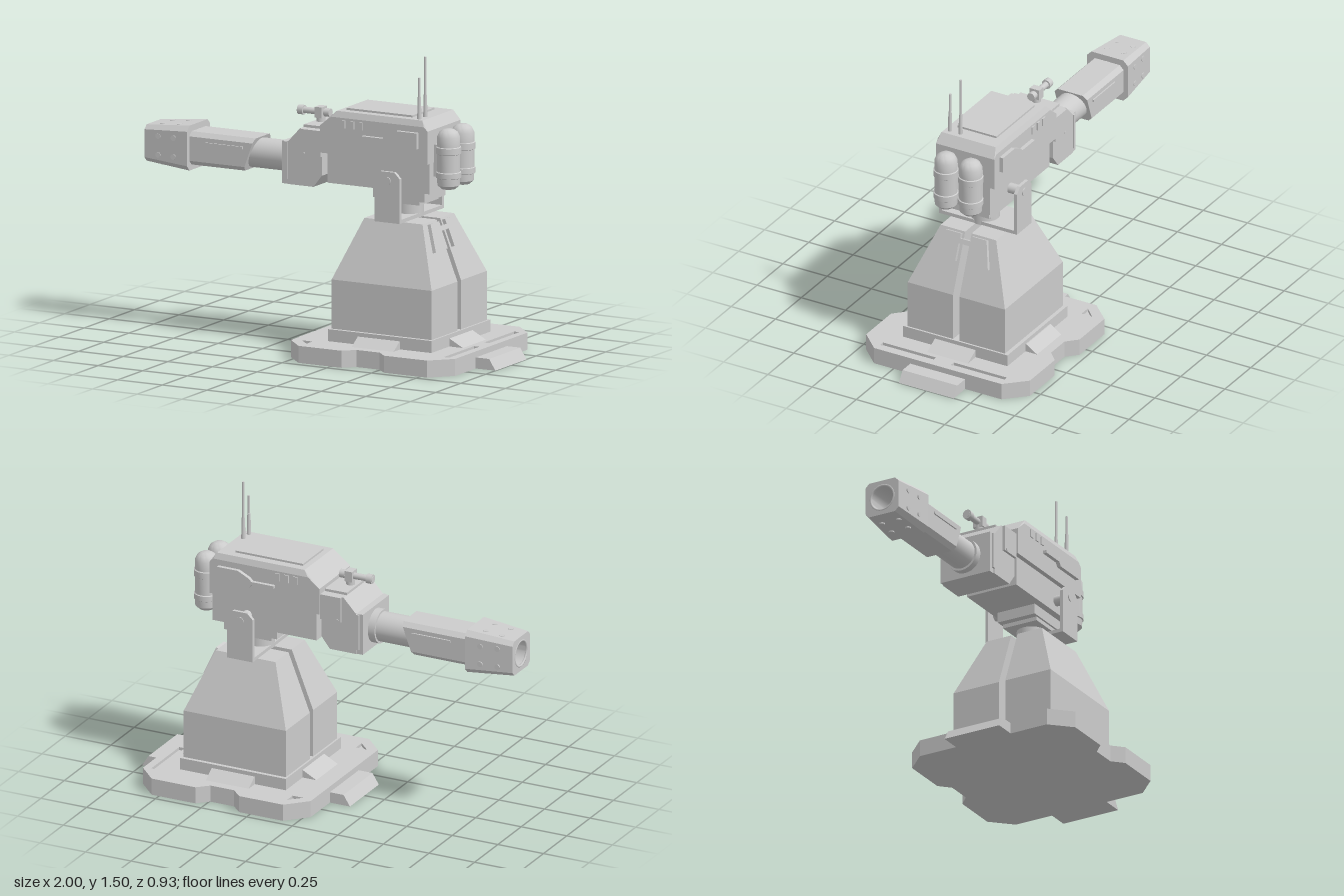
import * as THREE from 'three';
import { ConvexGeometry } from 'three/addons/geometries/ConvexGeometry.js';
import { toCreasedNormals } from 'three/addons/utils/BufferGeometryUtils.js';

const CX = 0.43; // centre line of the pedestal

export function createModel() {
  const root = new THREE.Group();
  root.name = 'turret';
  const mat = new THREE.MeshStandardMaterial({ color: 0xcccccc });

  const add = (name, geo) => {
    const m = new THREE.Mesh(geo, mat);
    m.name = name;
    root.add(m);
    return m;
  };
  // Box given by its limits on each axis
  const box = (name, x0, x1, y0, y1, z0, z1) =>
    add(name, new THREE.BoxGeometry(x1 - x0, y1 - y0, z1 - z0))
      .position.set((x0 + x1) / 2, (y0 + y1) / 2, (z0 + z1) / 2);
  // Cylinder centred on a point, along an axis
  const cyl = (name, axis, x, y, z, r, len, seg = 24, r2 = r) => {
    const g = new THREE.CylinderGeometry(r2, r, len, seg);
    if (axis === 'x') g.rotateZ(Math.PI / 2);
    if (axis === 'z') g.rotateX(Math.PI / 2);
    add(name, g).position.set(x, y, z);
  };
  const hull = (name, pts) =>
    add(name, new ConvexGeometry(pts.map((p) => new THREE.Vector3(...p))));
  // Flat outline mirrored to both sides of z = 0
  const slab = (outline, w) => outline.flatMap(([x, y]) => [[x, y, w], [x, y, -w]]);
  const shape = (pts) => new THREE.Shape(pts.map((p) => new THREE.Vector2(...p)));
  const extrude = (s, depth, curveSegments = 12) =>
    new THREE.ExtrudeGeometry(s, { depth, bevelEnabled: false, curveSegments });
  // Rectangle with cut corners
  const octagon = (a, b, c) => [[a, b - c], [a - c, b], [c - a, b], [-a, b - c],
    [-a, c - b], [c - a, -b], [a - c, -b], [a, c - b]];

  // Base: solid lower layer, thin top layer with slots and corner recesses
  const half = [[0.46, 0.36], [0.36, 0.463], [0.12, 0.463], [0.065, 0.41],
    [-0.065, 0.41], [-0.12, 0.463], [-0.36, 0.463], [-0.46, 0.36]];
  const outline = [...half, ...half.map(([x, y]) => [-x, -y])];
  const top = shape(outline);
  for (const s of [1, -1]) {
    top.holes.push(shape([[0.39, s * 0.05], [0.42, s * 0.05], [0.42, s * 0.35], [0.39, s * 0.35]]));
    top.holes.push(shape([[-0.41, s * 0.34], [-0.35, s * 0.40], [-0.35, s * 0.34]]));
  }
  const lay = (name, s, y, h) =>
    add(name, extrude(s, h).rotateX(-Math.PI / 2)).position.set(CX, y, 0);
  lay('baseLower', shape(outline), 0, 0.07);
  lay('baseTop', top, 0.07, 0.015);

  // Plinth, ramps and end feet
  box('plinth', 0.14, 0.72, 0.085, 0.145, -0.295, 0.295);
  for (const s of [1, -1]) {
    hull('endFoot', slab([[CX + s * 0.4, 0], [CX + s * 0.57, 0],
      [CX + s * 0.535, 0.055], [CX + s * 0.4, 0.055]], 0.155));
    hull('endRamp', slab([[CX + s * 0.28, 0.08], [CX + s * 0.365, 0.085],
      [CX + s * 0.29, 0.125], [CX + s * 0.28, 0.125]], 0.115));
    hull('sideRamp', [0.31, 0.545].flatMap((x) => [[x, 0.08, s * 0.28],
      [x, 0.085, s * 0.36], [x, 0.125, s * 0.3], [x, 0.125, s * 0.28]]));
    // Pedestal half, split by a narrow slit
    const ring = (y, a, w) => [[CX - a, y, s * 0.018], [CX + a, y, s * 0.018],
      [CX - a, y, s * w], [CX + a, y, s * w]];
    hull('pedestalHalf', [...ring(0.14, 0.28, 0.275), ...ring(0.39, 0.28, 0.275),
      ...ring(0.688, 0.163, 0.157)]);
  }

  // Notched hatch lying on the sloping end of the pedestal
  const hatchSide = [[0.03, 0.14], [0.115, 0.14], [0.152, 0], [0.033, 0], [0.033, 0.09]];
  const hatchPts = [[0.03, 0.115], ...hatchSide];
  const hatch = shape([...hatchPts, ...hatchPts.map(([x, y]) => [-x, y]).reverse()]);
  const lean = Math.atan2(0.117, 0.298);
  const hatchMesh = add('hatch', extrude(hatch, 0.025));
  hatchMesh.rotation.set(0, Math.PI / 2, 0);
  hatchMesh.geometry.rotateX(-lean);
  hatchMesh.position.set(0.642, 0.545, 0);

  // Yoke with its two arms and pivots
  box('yokePlate', 0.36, 0.5, 0.692, 0.71, -0.22, 0.22);
  const arm = shape([[-0.07, 0.692], [0.07, 0.692], [0.07, 0.915], [0.04, 0.945],
    [-0.04, 0.945], [-0.07, 0.915]]);
  for (const s of [1, -1]) {
    add('yokeArm', extrude(arm, 0.017)).position.set(CX, 0, s > 0 ? 0.203 : -0.22);
    cyl('pivot', 'z', CX, 0.9, s * 0.17, 0.026, 0.08);
    cyl('pivotCap', 'z', CX, 0.9, s * 0.221, 0.02, 0.008);
  }
  cyl('neck', 'y', CX, 0.735, 0, 0.072, 0.09, 32);
  box('collarLower', 0.32, 0.54, 0.765, 0.79, -0.095, 0.095);
  box('collar', 0.285, 0.575, 0.785, 0.84, -0.105, 0.105);

  // Main housing
  box('lowerHousing', 0.05, 0.622, 0.838, 1.0, -0.14, 0.14);
  hull('upperHousing', [...slab([[0.022, 0.99], [0.022, 1.125], [0.085, 1.175],
    [0.605, 1.175], [0.625, 1.155], [0.625, 0.99]], 0.165),
  ...slab([[0.11, 1.205], [0.59, 1.205]], 0.153)]);
  box('roofPlate', 0.14, 0.51, 1.2, 1.215, -0.11, 0.11);
  const panel = shape([[0.265, 1.085], [0.385, 1.085], [0.4, 1.065], [0.575, 1.065],
    [0.575, 1.145], [0.46, 1.145], [0.4, 1.115], [0.385, 1.1], [0.265, 1.1]]);
  for (const s of [1, -1]) {
    add('sidePanel', extrude(panel, 0.022)).position.z = s > 0 ? 0.163 : -0.185;
    for (let i = 0; i < 3; i++) {
      const x = 0.14 + i * 0.05;
      box('vent', x, x + 0.025, 1.125, 1.165, s * 0.167 - 0.004, s * 0.167 + 0.004);
    }
  }

  // Rear tanks: domed profile with two bands
  const tank = [[0, 0.86], [0.035, 0.862], [0.055, 0.88], [0.057, 0.915], [0.062, 0.918],
    [0.062, 0.945], [0.057, 0.948], [0.057, 1.035], [0.062, 1.038], [0.062, 1.07],
    [0.057, 1.073], [0.057, 1.12], [0.045, 1.145], [0.025, 1.158], [0, 1.16]];
  const tankGeo = toCreasedNormals(new THREE.LatheGeometry(
    tank.map((p) => new THREE.Vector2(...p)), 28), 0.6);
  for (const s of [1, -1]) {
    add('tank', tankGeo).position.set(0.69, 0, s * 0.07);
    box('tankMount', 0.61, 0.66, 0.92, 1.08, s * 0.07 - 0.03, s * 0.07 + 0.03);
  }

  // Antennas
  for (const [z, tip] of [[0.125, 1.41], [0.065, 1.505]]) {
    cyl('antennaBase', 'y', 0.557, 1.255, z, 0.011, 0.12, 12, 0.008);
    cyl('antenna', 'y', 0.557, (1.2 + tip) / 2, z, 0.006, tip - 1.2, 10);
  }

  // Front mount between housing and barrel
  hull('frontMount', slab([[-0.17, 0.81], [-0.025, 0.81], [0.022, 0.87], [0.022, 1.095],
    [-0.1, 1.095], [-0.17, 1.02]], 0.145));
  box('mountFace', -0.203, -0.165, 0.81, 1.022, -0.14, 0.14);
  box('mountCap', -0.1, 0.02, 1.09, 1.108, -0.11, 0.11);
  for (const s of [1, -1]) {
    box('mountPlate', -0.09, 0.022, 0.965, 1.095, s * 0.148 - 0.01, s * 0.148 + 0.01);
    box('mountStrip', -0.185, -0.17, 0.835, 1.02, s * 0.143 - 0.008, s * 0.143 + 0.008);
    cyl('mountBolt', 'z', -0.072, 0.975, s * 0.159, 0.007, 0.006, 10);
  }

  // Sight on its post
  cyl('sightTube', 'x', -0.1, 1.155, 0, 0.016, 0.18, 16);
  cyl('sightFront', 'x', -0.172, 1.155, 0, 0.024, 0.03, 16);
  cyl('sightRear', 'x', -0.025, 1.155, 0, 0.021, 0.03, 16);
  box('sightClamp', -0.085, -0.045, 1.128, 1.182, -0.027, 0.027);
  cyl('sightPost', 'y', -0.065, 1.12, 0, 0.022, 0.05, 16);

  // Barrel and slant-ended shroud
  const BY = 0.917;
  cyl('barrel', 'x', -0.34, BY, 0, 0.075, 0.32, 32);
  cyl('barrelRing', 'x', -0.22, BY, 0, 0.086, 0.04, 32);
  hull('shroud', octagon(0.092, 0.083, 0.022).flatMap(([z, y]) =>
    [[-0.76, BY + y, z], [-0.42 + y * 0.36, BY + y, z]]));
  for (const s of [1, -1]) {
    box('shroudRail', -0.66, -0.45, 0.945, 0.957, s * 0.094 - 0.005, s * 0.094 + 0.005);
  }

  // Tapered muzzle with a round bore
  const muzzleShape = shape(octagon(0.116, 0.112, 0.026));
  const bore = new THREE.Path();
  bore.absarc(0, 0, 0.082, 0, Math.PI * 2, true);
  muzzleShape.holes.push(bore);
  const muzzleGeo = extrude(muzzleShape, 0.25, 24).rotateY(-Math.PI / 2);
  const taper = (x) => 1 + 0.76 * x; // x runs from 0 to -0.25
  const pos = muzzleGeo.attributes.position;
  for (let i = 0; i < pos.count; i++) {
    const k = taper(pos.getX(i));
    pos.setY(i, pos.getY(i) * k);
    pos.setZ(i, pos.getZ(i) * k);
  }
  add('muzzle', toCreasedNormals(muzzleGeo, 0.5)).position.set(-0.75, BY + 0.002, 0);
  add('muzzleRim', new THREE.TorusGeometry(0.066, 0.006, 8, 32).rotateY(Math.PI / 2))
    .position.set(-0.996, BY + 0.002, 0);

  // Round ports on all four muzzle faces
  for (const x of [-0.92, -0.83]) {
    const k = taper(x + 0.75);
    for (const s of [1, -1]) {
      for (const o of [-0.047, 0.047]) {
        cyl('sidePort', 'z', x, BY + o, s * 0.116 * k, 0.014, 0.008, 14);
        cyl('facePort', 'y', x, BY + s * 0.112 * k, o, 0.014, 0.008, 14);
      }
    }
  }
  return root;
}
